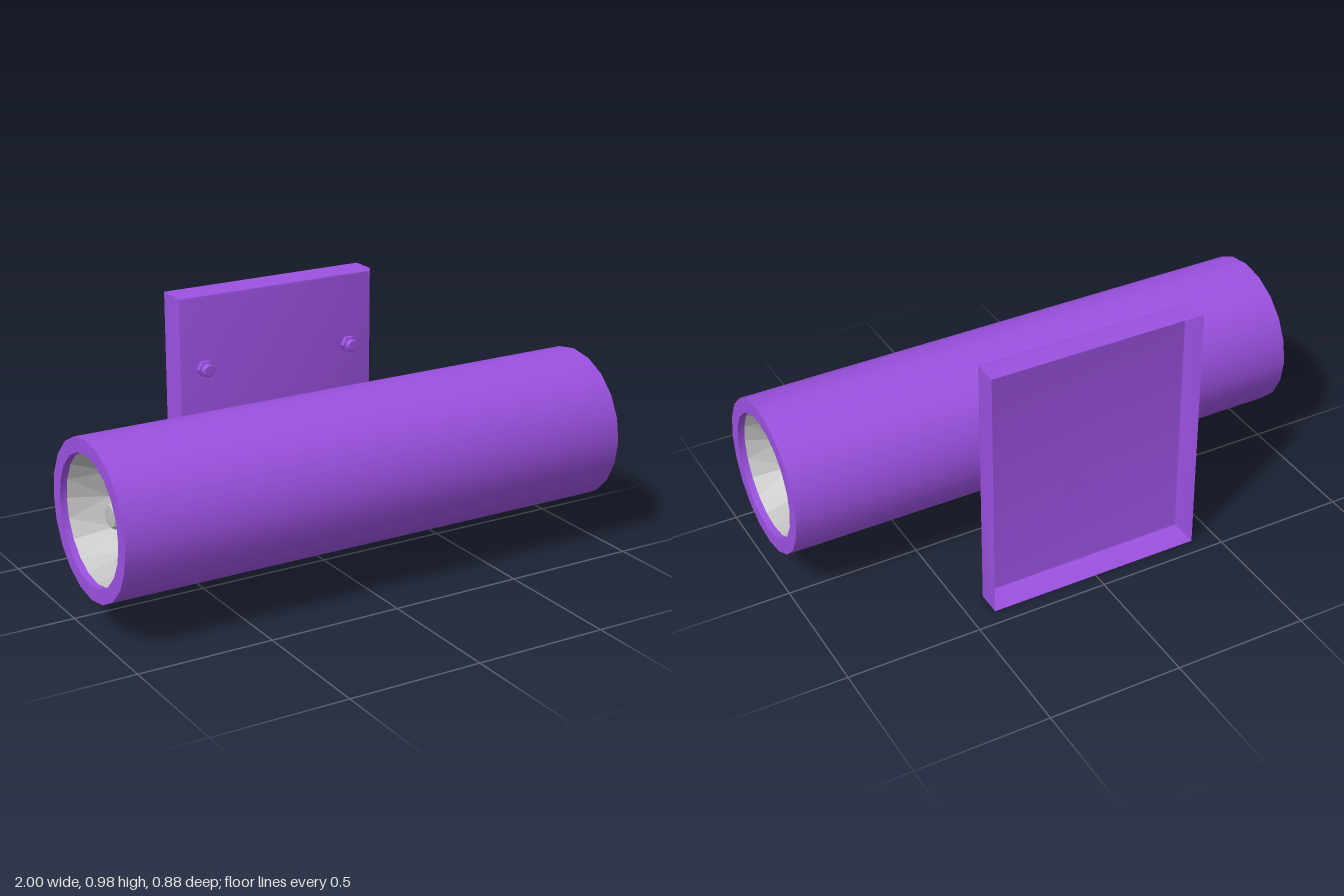
import * as THREE from 'three';
import { toCreasedNormals } from 'three/addons/utils/BufferGeometryUtils.js';

const purple = new THREE.MeshStandardMaterial({ color: 0x9b51e0, side: THREE.DoubleSide });
purple.name = 'purple paint';
const silver = new THREE.MeshStandardMaterial({ color: 0xbfbfbf, side: THREE.DoubleSide });
silver.name = 'silver';

function mesh(name, geometry, material, parent) {
  const m = new THREE.Mesh(geometry, material);
  m.name = name;
  parent.add(m);
  return m;
}

function lathe(points, sides) {
  const g = new THREE.LatheGeometry(points.map(([r, y]) => new THREE.Vector2(r, y)), sides);
  return toCreasedNormals(g, 0.5);
}

function trianglesToGeometry(tris) {
  const g = new THREE.BufferGeometry();
  g.setAttribute('position', new THREE.Float32BufferAttribute(tris.flat(2), 3));
  g.computeVertexNormals();
  return g;
}

// Faceted bowl: a 20-sided mouth narrowing to a 10-sided ring, then to a point
function reflectorGeometry() {
  const at = (r, y, step) => {
    const a = step * Math.PI / 10;
    return [r * Math.sin(a), y, r * Math.cos(a)];
  };
  const tris = [];
  for (let i = 0; i < 20; i += 2) {
    const m0 = at(0.232, 0.975, i), m1 = at(0.232, 0.975, i + 1), m2 = at(0.232, 0.975, i + 2);
    const r0 = at(0.172, 0.84, i), r2 = at(0.172, 0.84, i + 2);
    tris.push([m0, r0, m1], [m1, r0, r2], [m1, r2, m2], [r0, [0, 0.77, 0], r2]);
  }
  return trianglesToGeometry(tris);
}

// Backplate: open-backed pan with softened front edges, from rectangular loops
function plateGeometry() {
  const profile = [[0, -0.44], [0, -0.35], [0.002, -0.343], [0.007, -0.337], [0.015, -0.335]];
  const loops = profile.map(([inset, z]) => {
    const w = 0.408 - inset, b = 0.003 + inset, t = 0.98 - inset;
    return [[-w, b, z], [w, b, z], [w, t, z], [-w, t, z]];
  });
  const tris = [];
  for (let k = 0; k < loops.length - 1; k++) {
    for (let i = 0; i < 4; i++) {
      const j = (i + 1) % 4;
      const a = loops[k][i], b = loops[k][j], c = loops[k + 1][j], d = loops[k + 1][i];
      tris.push([a, b, c], [a, c, d]);
    }
  }
  const [a, b, c, d] = loops[loops.length - 1];
  tris.push([a, b, c], [a, c, d]);
  return toCreasedNormals(trianglesToGeometry(tris), 0.6);
}

// Arm section: upright rectangle with small rounded corners
function armGeometry() {
  const w = 0.056, h = 0.085, r = 0.012;
  const s = new THREE.Shape();
  s.absarc(w - r, h - r, r, 0, Math.PI / 2);
  s.absarc(-w + r, h - r, r, Math.PI / 2, Math.PI);
  s.absarc(-w + r, -h + r, r, Math.PI, Math.PI * 1.5);
  s.absarc(w - r, -h + r, r, Math.PI * 1.5, Math.PI * 2);
  return new THREE.ExtrudeGeometry(s, { depth: 0.225, bevelEnabled: false, curveSegments: 3 });
}

export function createModel() {
  const model = new THREE.Group();
  model.name = 'wallLight';

  // Lamp: tube lying along x with a reflector and bulb in each end
  const lamp = new THREE.Group();
  lamp.name = 'lamp';
  lamp.position.set(0, 0.418, 0.155);
  model.add(lamp);

  const tube = mesh('tube', lathe([
    [0.232, -0.975], [0.232, -1], [0.285, -1], [0.285, 1], [0.232, 1], [0.232, 0.975],
  ], 20), purple, lamp);
  tube.rotation.z = -Math.PI / 2;

  for (const side of [1, -1]) {
    const end = new THREE.Group();
    end.name = side > 0 ? 'leftEnd' : 'rightEnd';
    end.rotation.z = -side * Math.PI / 2;
    lamp.add(end);
    mesh('reflector', reflectorGeometry(), silver, end);
    mesh('bulb', lathe([[0.046, 0.76], [0.046, 0.91], [0.039, 0.922], [0, 0.925]], 10), silver, end);
  }

  // Wall mount
  mesh('backplate', plateGeometry(), purple, model);
  mesh('arm', armGeometry(), purple, model).position.set(0, 0.418, -0.335);

  // Fixing bolts: hex nut with a round stud
  for (const side of [1, -1]) {
    const bolt = new THREE.Group();
    bolt.name = side > 0 ? 'leftBolt' : 'rightBolt';
    bolt.position.set(side * 0.305, 0.703, -0.335);
    bolt.rotation.x = Math.PI / 2;
    model.add(bolt);
    const nut = new THREE.CylinderGeometry(0.032, 0.032, 0.02, 6).rotateY(Math.PI / 6).toNonIndexed();
    nut.computeVertexNormals();
    mesh('nut', nut.translate(0, 0.01, 0), purple, bolt);
    mesh('stud', lathe([[0.024, 0.018], [0.024, 0.036], [0.019, 0.041], [0, 0.041]], 12), purple, bolt);
  }
  return model;
}
